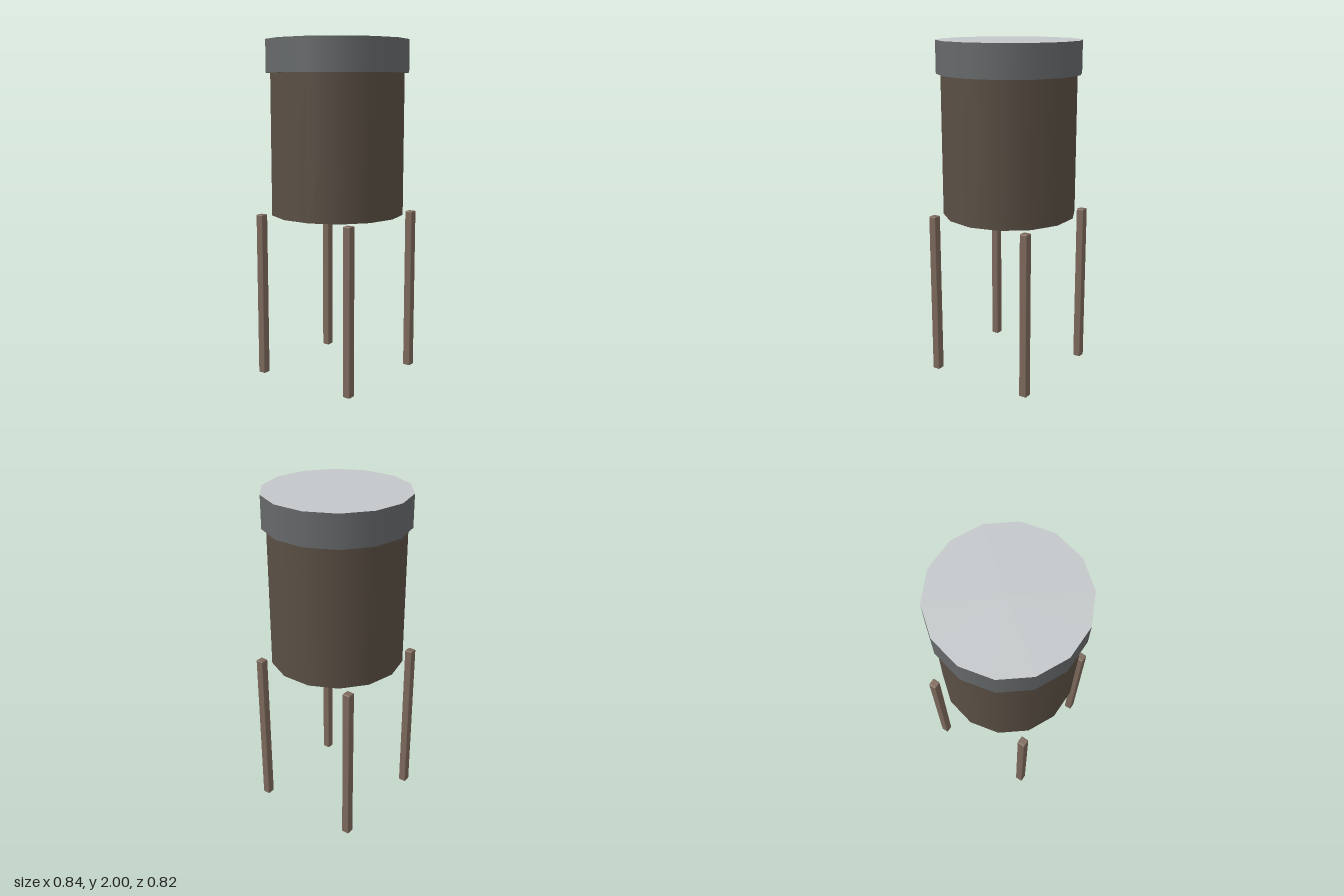
import * as THREE from 'three';
import { RoundedBoxGeometry } from 'three/addons/geometries/RoundedBoxGeometry.js';

const SIDES = 14;

const paint = (color) => new THREE.MeshStandardMaterial({ color });

export function createModel() {
  const model = new THREE.Group();
  model.name = 'waterTower';

  const darkWood = paint(0x5a4f44);
  const paleWood = paint(0xb59c89);
  const darkMetal = paint(0x66696b);
  const paleMetal = paint(0xc3c7c9);
  const legWood = paint(0x7c685b);

  const add = (name, geometry, material, x, y, z) => {
    const mesh = new THREE.Mesh(geometry, material);
    mesh.name = name;
    mesh.position.set(x, y, z);
    model.add(mesh);
  };

  // Closed drum between two heights, with a corner pointing along x;
  // the materials are for its wall, top and base
  const drum = (name, radius, bottom, top, materials) => {
    const geometry = new THREE.CylinderGeometry(
      radius, radius, top - bottom, SIDES, 1, false, Math.PI / 2);
    add(name, geometry, materials, 0, (bottom + top) / 2, 0);
  };

  drum('tank', 0.396, 0.982, 1.83, [darkWood, darkWood, paleWood]);
  drum('lid', 0.422, 1.811, 2, [darkMetal, paleMetal, darkMetal]);

  // Four slim legs with softened edges, outside the tank's wall
  const legHeight = 0.982;
  const legGeometry = new RoundedBoxGeometry(0.048, legHeight, 0.048, 2, 0.006);
  for (const [side, x] of [['Left', 0.32], ['Right', -0.32]]) {
    for (const [end, z] of [['front', 0.32], ['back', -0.32]]) {
      add(`${end}${side}Leg`, legGeometry, legWood, x, legHeight / 2, z);
    }
  }

  return model;
}
